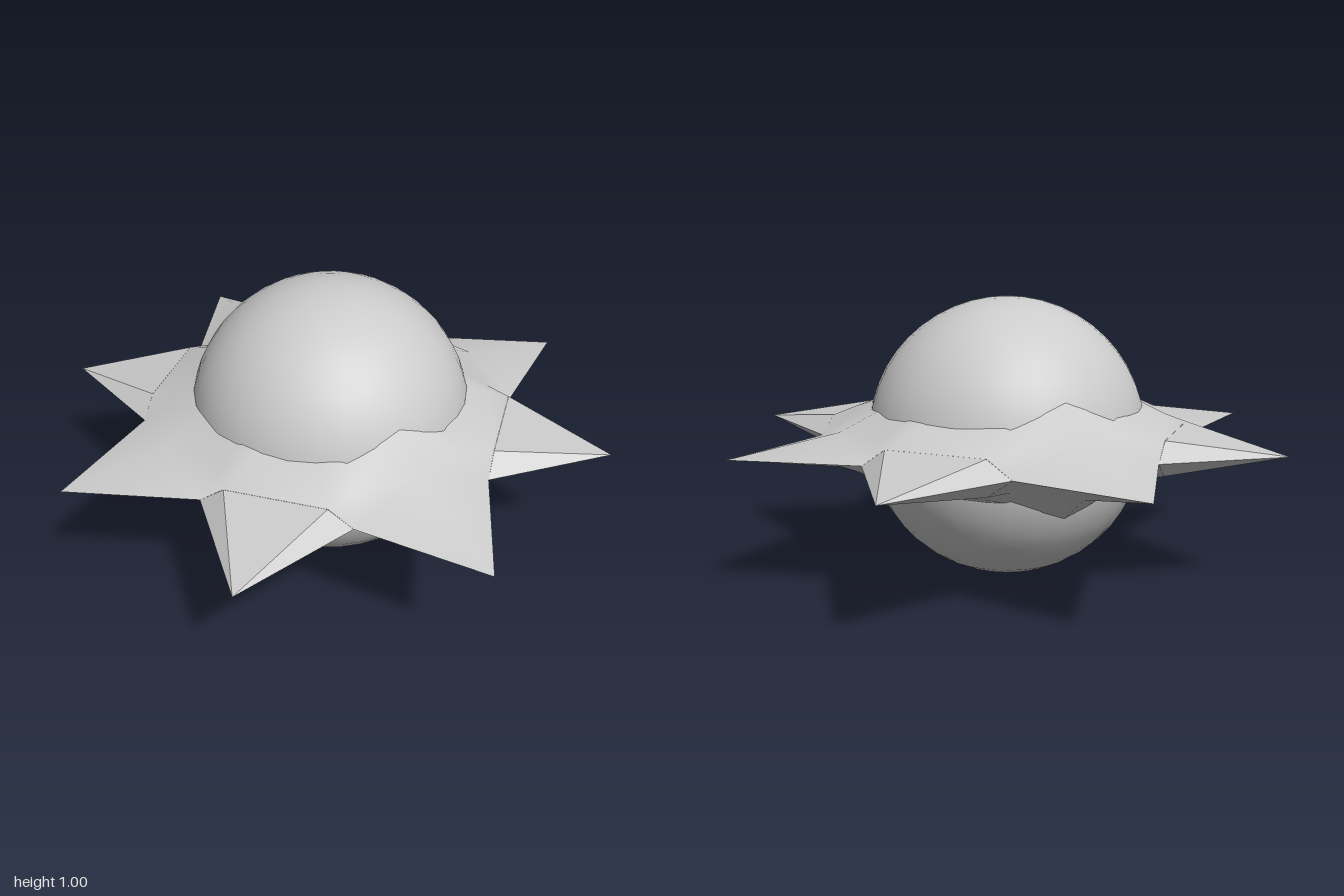
import * as THREE from 'three';
import { ConvexGeometry } from 'three/addons/geometries/ConvexGeometry.js';

const MID = 0.5; // height of the star's plane

// Cross-section columns over one quadrant: [radius, angle in degrees, height above plane]
// for the rim, the shoulder and the inner edge tucked into the ball.
const tipX = [[1, 0, 0], [0.62, 0, 0.06], [0.46, 0, 0.132]];
const tipZ = [[1, 0, 0], [0.6, 0, 0.094], [0.43, 0, 0.215]];
const between = [
  [[0.67, 22.5, 0], [0.575, 22.5, 0.063], [0.46, 22.5, 0.132]],
  [[0.642, 29.4, 0.06], [0.565, 31, 0.09], [0.46, 32, 0.13]],
  [[0.642, 60.6, 0.06], [0.565, 59, 0.09], [0.46, 58, 0.13]],
  [[0.67, 67.5, 0], [0.575, 67.5, 0.063], [0.46, 67.5, 0.132]],
];

// One half (upper: sign = 1, lower: sign = -1) of the four-pointed star skirt
function starHalf(sign) {
  const pos = [], index = [];
  for (let q = 0; q < 4; q++) {
    for (const column of [q % 2 ? tipZ : tipX, ...between]) {
      for (const [r, deg, h] of column) {
        const a = THREE.MathUtils.degToRad(deg + 90 * q);
        pos.push(r * Math.cos(a), sign * h, r * Math.sin(a));
      }
    }
  }
  const tri = (a, b, c) => (sign > 0 ? index.push(a, b, c) : index.push(a, c, b));
  for (let c = 0; c < 20; c++) {
    for (let k = 0; k < 2; k++) {
      const o0 = c * 3 + k, o1 = ((c + 1) % 20) * 3 + k;
      const m0 = o0 + 1, m1 = o1 + 1;
      if (c % 5 < 3) { // mirrored diagonals keep each point symmetric
        tri(o0, m0, o1);
        tri(o1, m0, m1);
      } else {
        tri(o0, m1, o1);
        tri(o0, m0, m1);
      }
    }
  }
  const geo = new THREE.BufferGeometry();
  geo.setAttribute('position', new THREE.Float32BufferAttribute(pos, 3));
  geo.setIndex(index);
  geo.computeVertexNormals();
  return geo;
}

export function createModel() {
  const group = new THREE.Group();
  const smooth = new THREE.MeshStandardMaterial({ color: 0xcccccc, side: THREE.DoubleSide });
  const faceted = new THREE.MeshStandardMaterial({ color: 0xcccccc, flatShading: true });

  const add = (name, geo, mat) => {
    const mesh = new THREE.Mesh(geo, mat);
    mesh.name = name;
    mesh.position.y = MID;
    group.add(mesh);
    return mesh;
  };

  // Central ball
  add('ball', new THREE.SphereGeometry(0.5, 32, 24), smooth);

  // Four main points, swept up and down into the ball
  add('starUpper', starHalf(1), smooth);
  add('starLower', starHalf(-1), smooth);

  // Diagonal points: flat six-sided pyramids on the sides of the star
  const spikePoints = [new THREE.Vector3(1, 0, 0)];
  for (const s of [-1, 1]) {
    spikePoints.push(new THREE.Vector3(0.619, 0, s * 0.256));
    for (const t of [-1, 1]) spikePoints.push(new THREE.Vector3(0.619, t * 0.06, s * 0.172));
  }
  const spikeGeo = new ConvexGeometry(spikePoints);
  for (let i = 0; i < 4; i++) {
    add('diagonalPoint' + (i + 1), spikeGeo, faceted).rotation.y = Math.PI / 4 + (i * Math.PI) / 2;
  }

  return group;
}
